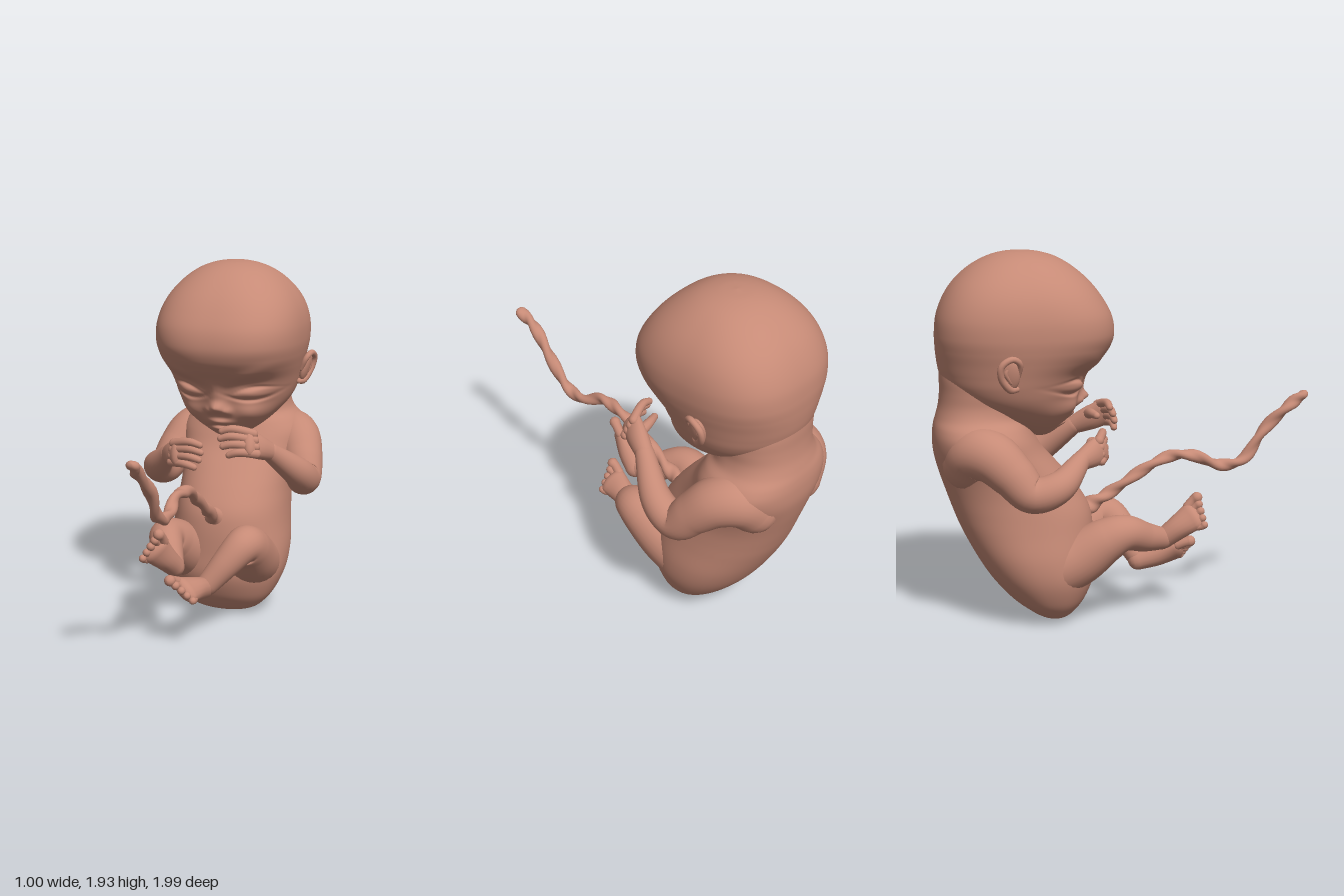
import * as THREE from 'three';

const V = (a) => new THREE.Vector3(a[0], a[1], a[2]);
const smooth = (pts) => new THREE.CatmullRomCurve3(pts, false, 'catmullrom', 0.5);
const skin = new THREE.MeshStandardMaterial({ color: 0xc68a76 });
skin.name = 'skin';

// Closed rings joined into one smooth surface; point(i, angle) gives each vertex.
function skinRings(name, rings, sides, point) {
  const pos = [], index = [];
  for (let i = 0; i < rings; i++) {
    for (let j = 0; j < sides; j++) {
      const p = point(i, (j / sides) * Math.PI * 2);
      pos.push(p.x, p.y, p.z);
      if (i === rings - 1) continue;
      const a = i * sides + j, b = i * sides + ((j + 1) % sides);
      index.push(a, b, a + sides, b, b + sides, a + sides);
    }
  }
  const g = new THREE.BufferGeometry();
  g.setAttribute('position', new THREE.Float32BufferAttribute(pos, 3));
  g.setIndex(index);
  g.computeVertexNormals();
  const mesh = new THREE.Mesh(g, skin);
  mesh.name = name;
  return mesh;
}

// Stack of horizontal sections, each [y, back z, front z, half width, squareness].
function shell(name, rows, rings, sides, adjust) {
  const size = smooth(rows.map((r) => new THREE.Vector3(r[1], r[2], r[3])));
  const high = smooth(rows.map((r) => new THREE.Vector3(r[4], r[0], 0)));
  return skinRings(name, rings, sides, (i, a) => {
    const t = i / (rings - 1), s = size.getPoint(t), h = high.getPoint(t);
    const bend = (c) => Math.sign(c) * Math.abs(c) ** (2 / h.x);
    const p = new THREE.Vector3(s.z * bend(Math.sin(a)), h.y,
      (s.x + s.y) / 2 + ((s.y - s.x) / 2) * bend(Math.cos(a)));
    if (adjust && Math.cos(a) > 0) adjust(p, Math.min(1, Math.cos(a) * 3));
    return p;
  });
}

// Round-ended sweep through points [x, y, z, radius, second radius]; side sets the first radius axis.
function sweep(name, pts, { side = [0.31, 0.2, 0.93], steps = 24, sides = 18, shape } = {}) {
  const path = smooth(pts.map(V));
  const radii = smooth(pts.map((p) => new THREE.Vector3(p[3], p[4] ?? p[3], 0)));
  const rings = [], n = V(side), cap = 5;
  for (let i = -cap; i <= steps + cap; i++) {
    const t = Math.min(1, Math.max(0, i / steps));
    const over = i < 0 ? i / cap : i > steps ? (i - steps) / cap : 0;
    const T = path.getTangent(t), r = radii.getPoint(t), f = Math.cos(over * Math.PI / 2);
    n.addScaledVector(T, -n.dot(T)).normalize();
    const c = path.getPoint(t).addScaledVector(T, Math.sin(over * Math.PI / 2) * Math.min(r.x, r.y));
    rings.push({ c, n: n.clone(), b: T.clone().cross(n), x: r.x * f, y: r.y * f, t });
  }
  return skinRings(name, rings.length, sides, (i, a) => {
    const k = rings[i], m = shape ? shape(k.t, a) : 1;
    return k.c.clone().addScaledVector(k.n, Math.cos(a) * k.x * m).addScaledVector(k.b, Math.sin(a) * k.y * m);
  });
}

const at = (base, ...terms) => {
  const p = V(base);
  terms.forEach(([d, s]) => p.addScaledVector(V(d), s));
  return p.toArray();
};

// Palm, four curled fingers and a thumb.
function hand(name, wrist, knuckles, dir, spread, curl) {
  const g = new THREE.Group();
  g.name = name;
  const mid = V(wrist).lerp(V(knuckles), 0.55).toArray();
  g.add(sweep('palm', [[...wrist, 0.05, 0.046], [...mid, 0.068, 0.046], [...knuckles, 0.074, 0.033]], { side: spread }));
  for (let i = 0; i < 4; i++) {
    const len = [0.9, 1, 0.95, 0.75][i], o = (i - 1.5) * 0.04;
    g.add(sweep('finger', [
      [...at(knuckles, [spread, o * 0.9], [dir, -0.03]), 0.025],
      [...at(knuckles, [spread, o], [dir, 0.05 * len]), 0.023],
      [...at(knuckles, [spread, o * 1.05], [dir, 0.1 * len], [curl, 0.015]), 0.021],
      [...at(knuckles, [spread, o * 1.05], [dir, 0.135 * len], [curl, 0.055]), 0.018]], { steps: 12, sides: 12 }));
  }
  g.add(sweep('thumb', [
    [...at(mid, [spread, -0.03]), 0.032],
    [...at(mid, [spread, -0.055], [dir, 0.06], [curl, 0.04]), 0.025],
    [...at(mid, [spread, -0.05], [dir, 0.12], [curl, 0.06]), 0.019]], { steps: 12, sides: 12 }));
  return g;
}

// Foot with five toes; across runs from the big toe to the little toe.
function foot(name, heel, ball, across) {
  const g = new THREE.Group();
  g.name = name;
  const dir = V(ball).sub(V(heel)).normalize().toArray();
  const mid = V(heel).lerp(V(ball), 0.5).toArray();
  g.add(sweep('sole', [[...heel, 0.054, 0.06], [...mid, 0.064, 0.06], [...ball, 0.08, 0.042]], { side: across }));
  for (let i = 0; i < 5; i++) {
    const r = [0.03, 0.023, 0.022, 0.021, 0.02][i], o = (i - 1.9) * 0.037;
    const reach = 0.066 - i * 0.007;
    g.add(sweep('toe', [
      [...at(ball, [across, o * 0.85]), r * 0.9],
      [...at(ball, [across, o], [dir, reach * 0.6]), r * 0.85],
      [...at(ball, [across, o], [dir, reach]), r]], { steps: 8, sides: 12 }));
  }
  return g;
}

export function createModel() {
  const model = new THREE.Group();
  model.name = 'curledInfant';

  // Torso and neck
  model.add(shell('torso', [
    [0, -0.375, -0.374, 0.001, 2], [0.004, -0.42, -0.335, 0.09, 2], [0.025, -0.475, -0.29, 0.17, 2.1],
    [0.065, -0.535, -0.25, 0.225, 2.2], [0.13, -0.615, -0.205, 0.275, 2.2], [0.24, -0.71, -0.165, 0.32, 2.2],
    [0.36, -0.785, -0.165, 0.332, 2.2], [0.5, -0.857, -0.17, 0.317, 2.2], [0.6, -0.897, -0.19, 0.308, 2.2],
    [0.7, -0.932, -0.25, 0.303, 2.2], [0.8, -0.965, -0.33, 0.312, 2.2], [0.9, -0.99, -0.42, 0.338, 2.25],
    [0.98, -0.994, -0.47, 0.345, 2.3], [1.04, -0.988, -0.5, 0.315, 2.3], [1.09, -0.975, -0.52, 0.27, 2.2],
    [1.15, -0.96, -0.51, 0.252, 2.2], [1.22, -0.953, -0.5, 0.255, 2.2], [1.3, -0.953, -0.5, 0.255, 2.2],
    [1.38, -0.945, -0.5, 0.225, 2.2], [1.46, -0.9, -0.5, 0.15, 2.2]], 100, 64));

  // Face relief: [x, y, width, height, depth, slope, curve], mirrored in x
  const relief = [
    [0, 1.23, 0.045, 0.06, 0.022, 0, 0], [0, 1.165, 0.042, 0.032, 0.058, 0, 0], [0.05, 1.145, 0.022, 0.022, 0.025, 0, 0],
    [0.17, 1.3, 0.09, 0.035, -0.024, 0.2, 0], [0.19, 1.25, 0.08, 0.036, 0.03, 0, 0],
    [0.19, 1.212, 0.1, 0.011, -0.022, 0.1, 2], [0.2, 1.285, 0.09, 0.009, -0.012, 0.1, -2],
    [0.2, 1.365, 0.12, 0.035, 0.012, 0.4, 0], [0.18, 1.13, 0.08, 0.055, 0.03, 0, 0],
    [0, 1.08, 0.06, 0.018, 0.026, 0, 0], [0, 1.054, 0.1, 0.01, -0.018, 0, -2],
    [0, 1.03, 0.05, 0.016, 0.022, 0, 0], [0, 0.995, 0.05, 0.02, 0.01, 0, 0]];
  const face = (p, fade) => {
    let dz = 0;
    for (const [x, y, w, h, d, k, q] of relief) {
      const dx = Math.abs(p.x) - x;
      dz += d * Math.exp(-((dx / w) ** 2) - ((p.y - y - k * dx - q * dx * dx) / h) ** 2);
    }
    p.z += dz * fade;
  };
  model.add(shell('head', [
    [0.972, -0.44, -0.439, 0.001, 2], [0.98, -0.49, -0.4, 0.06, 2], [1.01, -0.56, -0.355, 0.118, 2.05],
    [1.05, -0.65, -0.31, 0.178, 2.1], [1.1, -0.75, -0.275, 0.235, 2.1], [1.15, -0.83, -0.255, 0.28, 2.1],
    [1.2, -0.89, -0.24, 0.312, 2.1], [1.26, -0.935, -0.218, 0.336, 2.1], [1.32, -0.955, -0.175, 0.353, 2.15],
    [1.38, -0.965, -0.118, 0.37, 2.25], [1.44, -0.97, -0.078, 0.385, 2.4], [1.51, -0.971, -0.06, 0.395, 2.55],
    [1.6, -0.96, -0.074, 0.392, 2.6], [1.69, -0.926, -0.122, 0.368, 2.55], [1.77, -0.874, -0.185, 0.322, 2.45],
    [1.84, -0.8, -0.265, 0.255, 2.3], [1.89, -0.715, -0.35, 0.178, 2.15], [1.917, -0.63, -0.44, 0.092, 2],
    [1.926, -0.536, -0.535, 0.001, 2]], 200, 128, face));

  for (const s of [1, -1]) {
    // Ears: bowl, rim and inner ridge
    const ear = new THREE.Group();
    ear.name = s > 0 ? 'leftEar' : 'rightEar';
    const m = (pts) => pts.map(([x, ...rest]) => [x * s, ...rest]);
    const bowl = new THREE.Mesh(new THREE.SphereGeometry(1, 24, 16), skin);
    bowl.name = 'earBowl';
    bowl.scale.set(0.024, 0.085, 0.05);
    bowl.position.set(0.375 * s, 1.35, -0.63);
    bowl.rotation.set(-0.15, 0, -0.25 * s);
    ear.add(bowl);
    ear.add(sweep('earRim', m([[0.362, 1.34, -0.585, 0.012], [0.39, 1.4, -0.58, 0.015], [0.41, 1.428, -0.62, 0.016],
      [0.412, 1.395, -0.672, 0.017], [0.395, 1.33, -0.672, 0.017], [0.366, 1.275, -0.63, 0.02], [0.348, 1.27, -0.595, 0.016]]), { sides: 12 }));
    ear.add(sweep('earRidge', m([[0.392, 1.395, -0.63, 0.011], [0.393, 1.355, -0.65, 0.012], [0.376, 1.31, -0.625, 0.012]]), { sides: 10 }));
    model.add(ear);

    // Arms: shoulder blade, shoulder, elbow, wrist
    const wrist = s > 0 ? [0.3, 0.955, -0.22] : [-0.29, 0.885, -0.27];
    const half = [0.4 * s, s > 0 ? 0.815 : 0.785, -0.39];
    model.add(sweep(s > 0 ? 'leftArm' : 'rightArm', [
      [0.17 * s, 0.86, -0.83, 0.125], [0.24 * s, 0.93, -0.79, 0.134], [0.31 * s, 0.92, -0.71, 0.13],
      [0.365 * s, 0.84, -0.62, 0.113], [0.403 * s, 0.748, -0.525, 0.094], [...half, 0.08], [...wrist, 0.05]], { steps: 48, sides: 28 }));
  }
  model.add(hand('leftHand', [0.3, 0.955, -0.22], [0.235, 1.03, -0.07], [-0.9, 0.2, 0.35], [0.25, -0.9, 0.3], [-0.4, -0.5, -0.2]));
  model.add(hand('rightHand', [-0.29, 0.885, -0.27], [-0.2, 0.925, -0.15], [0.92, 0.15, 0.35], [-0.1, -0.95, 0.1], [0.4, -0.4, -0.2]));

  // Legs: hip, knee, ankle, each folded its own way
  model.add(sweep('leftLeg', [[0.14, 0.27, -0.5, 0.12], [0.165, 0.29, -0.4, 0.145], [0.185, 0.35, -0.27, 0.143],
    [0.21, 0.445, -0.13, 0.118], [0.205, 0.47, -0.05, 0.097], [0.145, 0.395, 0.02, 0.08], [0.06, 0.285, 0.08, 0.06]], { steps: 48, sides: 28 }));
  model.add(sweep('rightLeg', [[-0.14, 0.27, -0.5, 0.12], [-0.165, 0.29, -0.4, 0.145], [-0.185, 0.35, -0.27, 0.143],
    [-0.215, 0.445, -0.13, 0.116], [-0.215, 0.48, -0.03, 0.094], [-0.16, 0.44, 0.08, 0.078], [-0.1, 0.41, 0.18, 0.06]], { steps: 48, sides: 28 }));
  model.add(foot('leftFoot', [0.042, 0.262, 0.085], [0.01, 0.312, 0.285], [0.75, -0.66, 0]));
  model.add(foot('rightFoot', [-0.085, 0.405, 0.2], [-0.128, 0.528, 0.345], [-0.58, -0.75, 0.3]));

  // Twisted cord, flaring where it meets the belly
  model.add(sweep('cord', [[0, 0.5, -0.33, 0.1], [0, 0.56, -0.22, 0.065], [0, 0.6, -0.15, 0.042], [0, 0.66, -0.05, 0.033],
    [-0.01, 0.755, 0.09, 0.032], [0.005, 0.825, 0.24, 0.032], [-0.01, 0.83, 0.37, 0.032], [0.005, 0.77, 0.52, 0.032],
    [0, 0.8, 0.65, 0.032], [0.01, 0.95, 0.76, 0.033], [-0.005, 1.07, 0.88, 0.033], [0.005, 1.132, 0.968, 0.033]],
  { steps: 180, sides: 20, shape: (t, a) => 0.88 + 0.18 * Math.min(1, t * 5) * Math.cos(2 * a - t * 64) }));

  return model;
}
